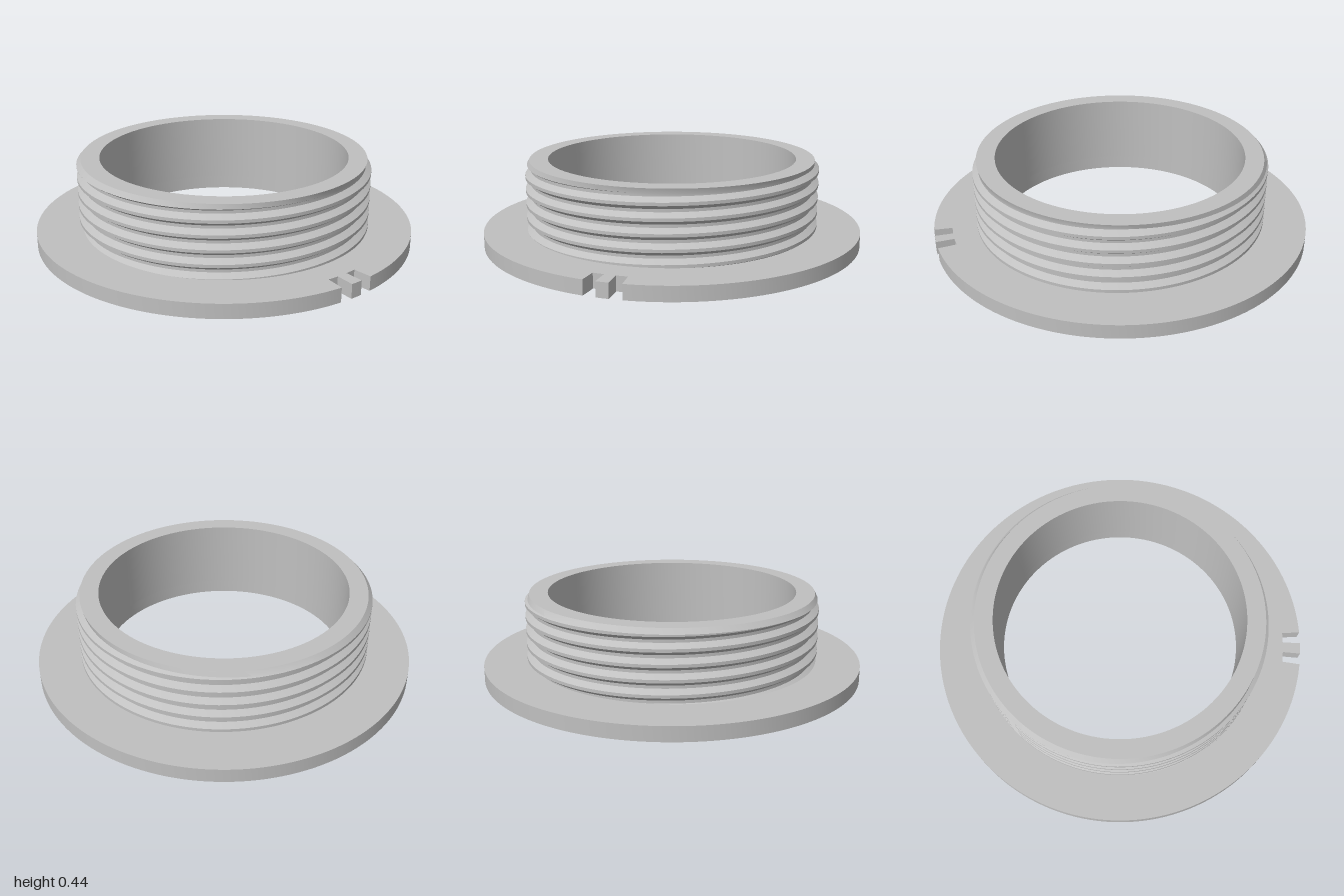
import * as THREE from 'three';
import { toCreasedNormals } from 'three/addons/utils/BufferGeometryUtils.js';

const SEGMENTS = 128;
const FLANGE_TOP = 0.075, TOP = 0.44, CHAMFER_START = 0.415;
const BORE = 0.655, ROOT = 0.745, CREST = 0.775, RIM = 0.752;
const PITCH = 0.073, CREST_HEIGHT = 0.352;

// Flat ring with two slots at +x that leave a small tab between them
function flangeGeometry() {
  const shape = new THREE.Shape();
  const slotOuter = 0.093, slotInner = 0.031, slotFloor = 0.905;
  const at = (r, a) => shape.lineTo(r * Math.cos(a), r * Math.sin(a));
  shape.absarc(0, 0, 1, slotOuter, Math.PI * 2 - slotOuter, false);
  at(slotFloor, -slotOuter);
  at(slotFloor, -slotInner);
  at(1, -slotInner);
  at(1, 0);
  at(1, slotInner);
  at(slotFloor, slotInner);
  at(slotFloor, slotOuter);
  shape.closePath();
  const hole = new THREE.Path();
  hole.absarc(0, 0, BORE, 0, Math.PI * 2, true);
  shape.holes.push(hole);
  const geometry = new THREE.ExtrudeGeometry(shape, {
    depth: FLANGE_TOP, bevelEnabled: false, curveSegments: SEGMENTS,
  });
  geometry.rotateX(-Math.PI / 2);
  return toCreasedNormals(geometry, 0.4);
}

// Trapezoid thread: radius at a height measured from a crest centre
function threadRadius(offset) {
  const d = Math.abs(offset - PITCH * Math.round(offset / PITCH));
  const t = THREE.MathUtils.clamp((d - 0.008) / 0.021, 0, 1);
  return THREE.MathUtils.lerp(CREST, ROOT, t);
}

// Right-handed helical surface, cut off at the flange and at the chamfer
function threadGeometry() {
  const corners = [-0.029, -0.008, 0.008, 0.029];
  const columns = [];
  for (let i = 0; i <= SEGMENTS; i++) {
    const angle = (i / SEGMENTS) * Math.PI * 2;
    const crest = CREST_HEIGHT + (PITCH * i) / SEGMENTS;
    const point = (r, y) => new THREE.Vector3(r * Math.sin(angle), y, r * Math.cos(angle));
    const column = [];
    for (let turn = -6; turn <= 2; turn++) {
      for (const corner of corners) {
        const y = THREE.MathUtils.clamp(crest + turn * PITCH + corner, FLANGE_TOP, CHAMFER_START);
        column.push(point(threadRadius(y - crest), y));
      }
    }
    column.push(point(RIM, TOP));
    columns.push(column);
  }

  const positions = [];
  const triangle = (a, b, c) => {
    const area = new THREE.Triangle(a, b, c).getArea();
    if (area > 1e-8) for (const p of [a, b, c]) positions.push(p.x, p.y, p.z);
  };
  for (let i = 0; i < SEGMENTS; i++) {
    const near = columns[i], far = columns[i + 1];
    for (let j = 0; j < near.length - 1; j++) {
      triangle(near[j], far[j], near[j + 1]);
      triangle(far[j], far[j + 1], near[j + 1]);
    }
  }
  const geometry = new THREE.BufferGeometry();
  geometry.setAttribute('position', new THREE.Float32BufferAttribute(positions, 3));
  return toCreasedNormals(geometry, 0.4);
}

// Flat top rim and smooth bore of the collar
function boreGeometry() {
  const profile = [[RIM, TOP], [BORE, TOP], [BORE, FLANGE_TOP]];
  const points = profile.map(([r, y]) => new THREE.Vector2(r, y));
  return toCreasedNormals(new THREE.LatheGeometry(points, SEGMENTS), 0.4);
}

export function createModel() {
  const group = new THREE.Group();
  group.name = 'threadedFlange';
  const grey = new THREE.MeshStandardMaterial({ color: 0xc0c0c0 });
  grey.name = 'plain grey';

  const parts = {
    slottedFlange: flangeGeometry(),
    threadedCollar: threadGeometry(),
    collarRimAndBore: boreGeometry(),
  };
  for (const [name, geometry] of Object.entries(parts)) {
    const mesh = new THREE.Mesh(geometry, grey);
    mesh.name = name;
    group.add(mesh);
  }
  return group;
}
